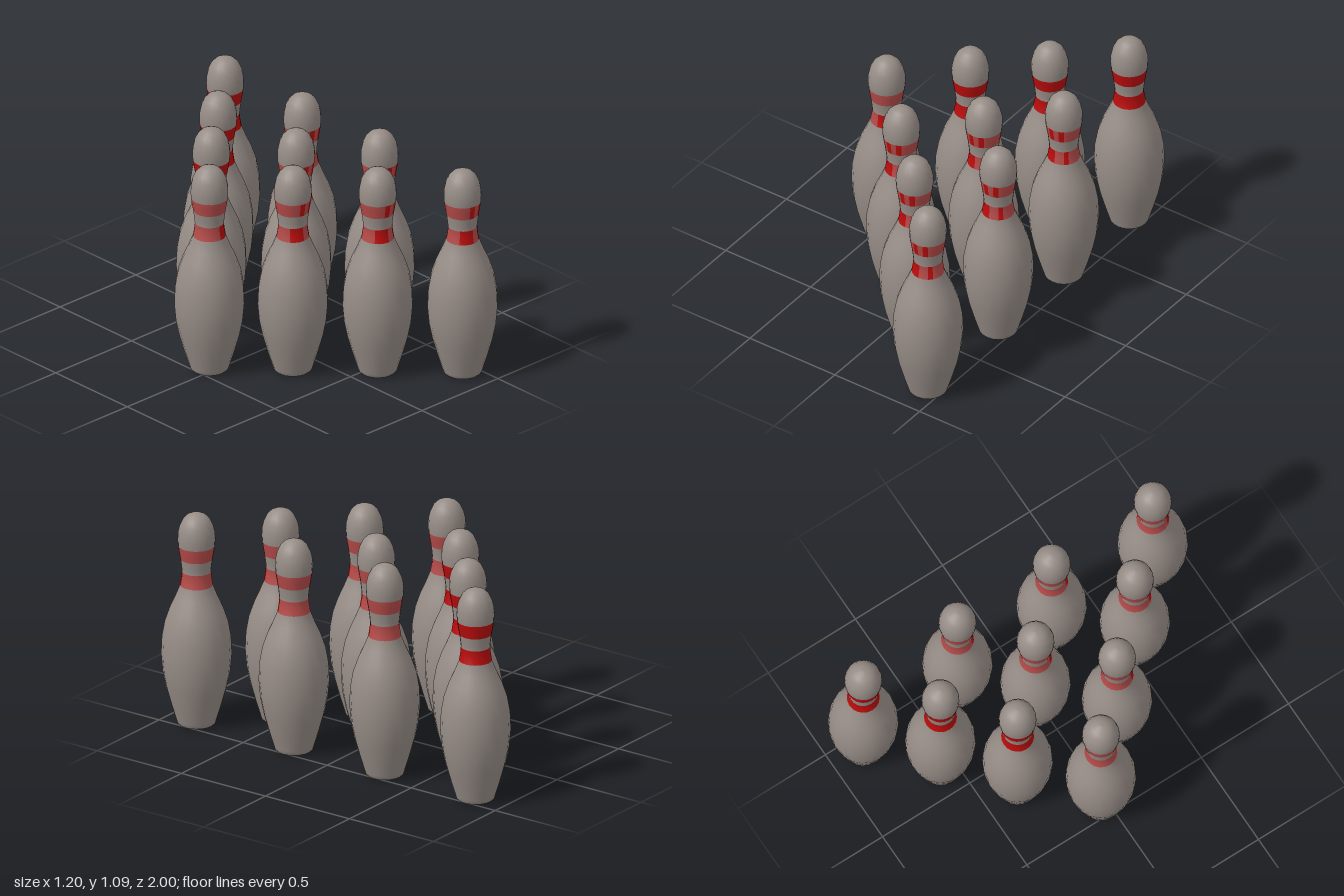
import * as THREE from 'three';

const SIDES = 20;

// Radius and height up the pin; the neck stripes lie between matching heights.
const PROFILE = [
  [0, 0], [0.08, 0], [0.086, 0.002], [0.094, 0.01], [0.098, 0.025],
  [0.121, 0.1], [0.146, 0.19], [0.162, 0.27], [0.17, 0.36], [0.166, 0.45],
  [0.152, 0.53], [0.128, 0.6], [0.101, 0.66], [0.079, 0.715],
  [0.072, 0.76], [0.0705, 0.785], [0.073, 0.81], [0.078, 0.85],
  [0.085, 0.89], [0.089, 0.918], [0.091, 0.95], [0.089, 0.985],
  [0.081, 1.02], [0.066, 1.052], [0.045, 1.073], [0.022, 1.083], [0, 1.086],
];

const LOWER_STRIPE = [0.715, 0.785];
const UPPER_STRIPE = [0.85, 0.918];
const ALL_SIDES = Array.from({ length: SIDES }, (_, i) => i);

// One smooth turned body. Stripes are faded red, except on the listed sides,
// which are bright red. Materials: 0 body, 1 faded stripe, 2 bright stripe.
function makePinGeometry(lowerBright, upperBright) {
  const geometry = new THREE.LatheGeometry(PROFILE.map(([r, y]) => new THREE.Vector2(r, y)), SIDES);
  const rings = PROFILE.length - 1;
  const paint = (side, ring) => {
    const mid = (PROFILE[ring][1] + PROFILE[ring + 1][1]) / 2;
    const inside = ([low, high]) => mid > low && mid < high;
    if (inside(LOWER_STRIPE)) return lowerBright.includes(side) ? 2 : 1;
    if (inside(UPPER_STRIPE)) return upperBright.includes(side) ? 2 : 1;
    return 0;
  };
  for (let i = 0; i < SIDES; i++) {
    let start = 0;
    for (let j = 1; j <= rings; j++) {
      if (j === rings || paint(i, j) !== paint(i, start)) {
        geometry.addGroup((i * rings + start) * 6, (j - start) * 6, paint(i, start));
        start = j;
      }
    }
  }
  return geometry;
}

function makeMaterial(name, color) {
  const material = new THREE.MeshStandardMaterial({ color });
  material.name = name;
  return material;
}

export function createModel() {
  const model = new THREE.Group();
  model.name = 'bowlingPins';

  const materials = [
    makeMaterial('warm grey body', 0x978d87),
    makeMaterial('faded red stripe', 0xb34a48),
    makeMaterial('bright red stripe', 0xb80c0c),
  ];

  const headPin = makePinGeometry([0, 1], []);
  const brightPin = makePinGeometry(ALL_SIDES, ALL_SIDES);
  const patchyPin = makePinGeometry([17, 18, 19, 2], [19, 1]);

  // Triangle rack: rows of one to four pins, widening towards +x
  const rowDepths = [[-0.03], [-0.32, 0.25], [-0.575, -0.03, 0.54], [-0.83, -0.29, 0.25, 0.83]];
  rowDepths.forEach((depths, row) => {
    depths.forEach((z, k) => {
      // The rear diagonal has fully bright stripes
      const geometry = row === 0 ? headPin : k === 0 ? brightPin : patchyPin;
      const pin = new THREE.Mesh(geometry, materials);
      pin.name = `pinRow${row + 1}Number${k + 1}`;
      pin.position.set(-0.43 + row * 0.286, 0, z);
      model.add(pin);
    });
  });
  return model;
}
